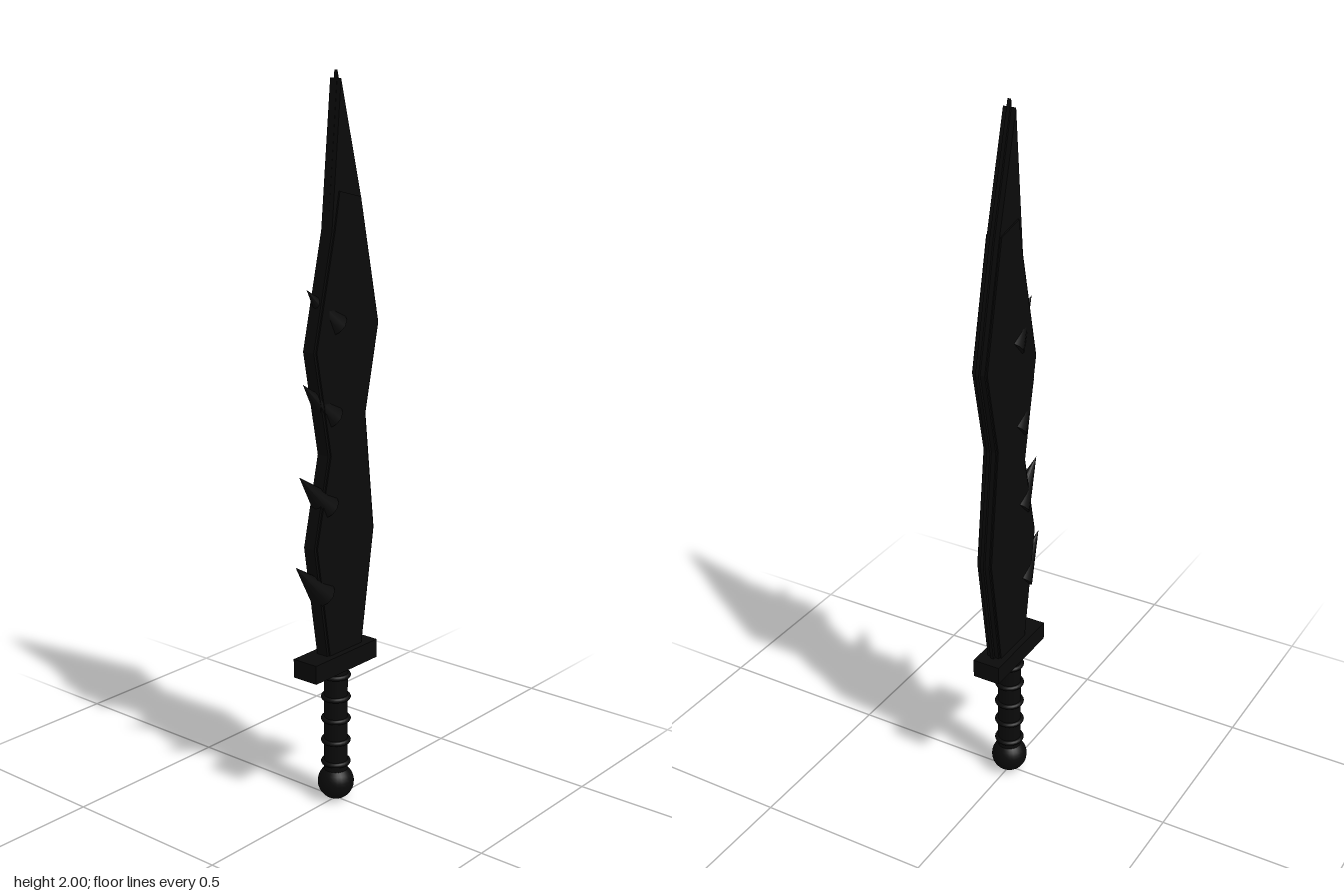
import * as THREE from 'three';

export function createModel() {
  const group = new THREE.Group();
  const black = new THREE.MeshStandardMaterial({ color: 0x0a0a0a });
  black.name = 'black metal';

  const add = (name, geometry, x = 0, y = 0, z = 0) => {
    const mesh = new THREE.Mesh(geometry, black);
    mesh.name = name;
    mesh.position.set(x, y, z);
    group.add(mesh);
    return mesh;
  };

  // Flat plate centred on z = 0
  const plate = (name, points, depth) => {
    const shape = new THREE.Shape(points.map(([x, y]) => new THREE.Vector2(x, y)));
    const geometry = new THREE.ExtrudeGeometry(shape, { depth, bevelEnabled: false });
    add(name, geometry, 0, 0, -depth / 2);
  };

  // Wavy blade outline: cutting side going up, spiked side coming down
  const cutting = [[0.095, 0.43], [0.148, 0.77], [0.11, 1.1], [0.163, 1.34], [0.09, 1.67]];
  const spiked = [[-0.037, 1.6], [-0.11, 1.295], [-0.053, 1.01], [-0.11, 0.765], [-0.055, 0.43]];
  const inset = (side, d) => side.map(([x, y]) => [x + d, y]);

  plate('cuttingEdge', [...cutting, [0, 2], ...spiked], 0.01);
  plate('bladeBody', [...inset(cutting, -0.008), [-0.001, 1.98], ...spiked], 0.036);
  plate('bladeFace', [
    ...inset(cutting.slice(0, 4), -0.014), [0.075, 1.68], [-0.01, 1.7],
    ...inset(spiked, 0.008),
  ], 0.044);

  // Row of spikes slanting up and outward, sinking deeper toward the tip
  const axis = new THREE.Vector3(-0.72, 0.69, 0).normalize();
  const length = 0.15;
  for (let i = 0; i < 4; i++) {
    const apex = new THREE.Vector3(-0.165 + i * 0.0165, 0.727 + i * 0.2435, 0);
    const spike = add('spike', new THREE.ConeGeometry(0.038, length, 12));
    spike.position.copy(apex).addScaledVector(axis, -length / 2);
    spike.quaternion.setFromUnitVectors(new THREE.Vector3(0, 1, 0), axis);
  }

  // Crossguard, grip with rings, and pommel
  add('guard', new THREE.BoxGeometry(0.26, 0.053, 0.08), 0, 0.421, 0);
  add('grip', new THREE.CylinderGeometry(0.033, 0.033, 0.34, 20), 0, 0.235, 0);
  for (let i = 0; i < 5; i++) {
    const ring = add('gripRing', new THREE.TorusGeometry(0.035, 0.007, 8, 24), 0, 0.113 + i * 0.065, 0);
    ring.rotation.x = Math.PI / 2;
  }
  add('pommel', new THREE.SphereGeometry(0.051, 24, 16), 0, 0.052, 0);

  return group;
}
